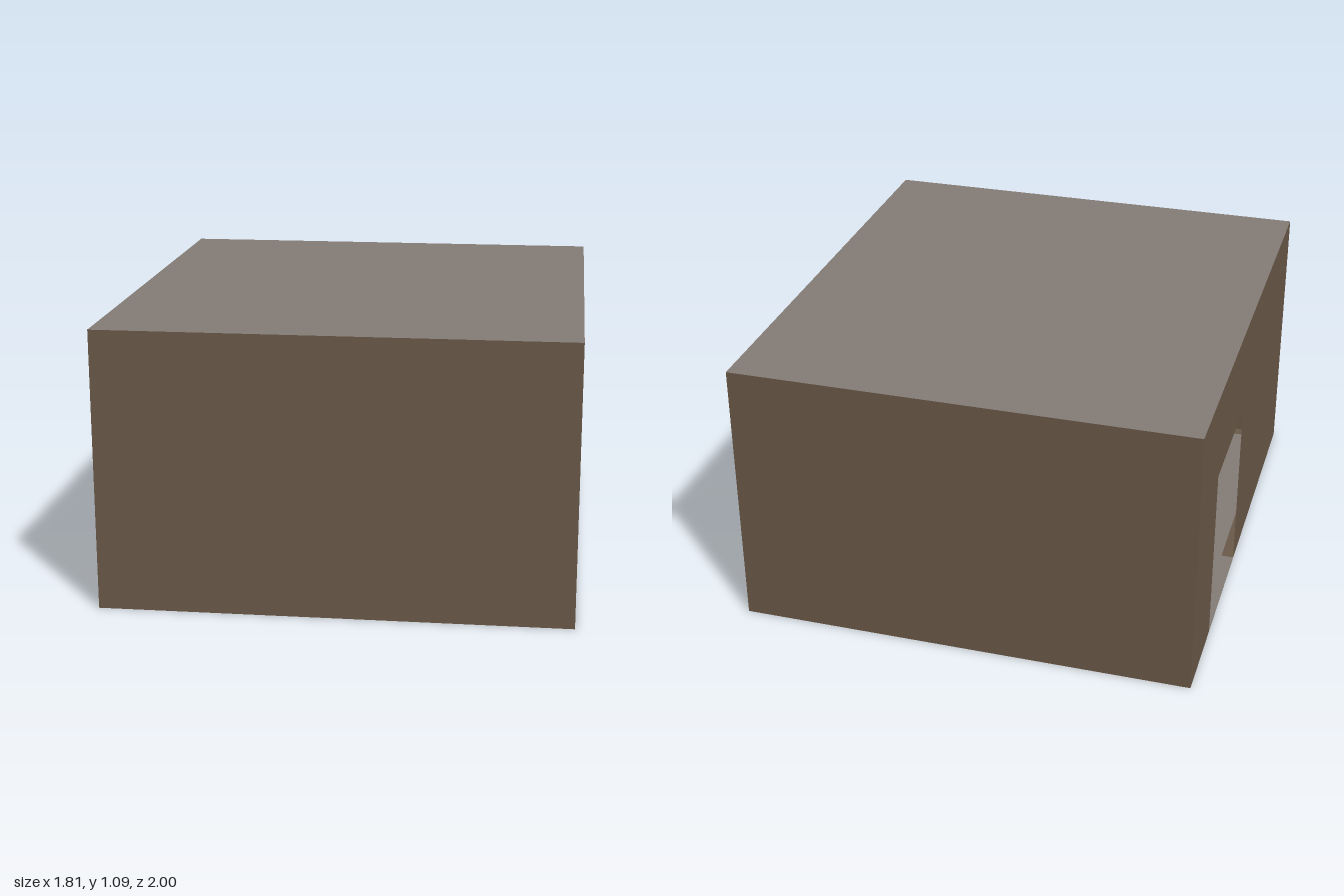
import * as THREE from 'three';

const W = 1.81, H = 1.09, D = 2, RIM = 0.05;

// rectangle outline, usable as shape or hole
function rect(x0, y0, x1, y1, Type = THREE.Shape) {
  const s = new Type();
  s.moveTo(x0, y0);
  s.lineTo(x1, y0);
  s.lineTo(x1, y1);
  s.lineTo(x0, y1);
  s.closePath();
  return s;
}

function panel(name, shape, material) {
  const mesh = new THREE.Mesh(new THREE.ShapeGeometry(shape), material);
  mesh.name = name;
  return mesh;
}

export function createModel() {
  const group = new THREE.Group();
  group.name = 'building';
  const brown = new THREE.MeshStandardMaterial({ name: 'brown wall', color: 0x6b5a49, side: THREE.DoubleSide });
  const gray = new THREE.MeshStandardMaterial({ name: 'gray slab', color: 0x857c76, side: THREE.DoubleSide });
  const w = W / 2, d = D / 2;

  // thin walls, the right one with a doorway
  const doorZ = [-0.63, -0.09], doorH = 0.72;
  const doorWall = new THREE.Shape();
  [[-d, 0], [doorZ[0], 0], [doorZ[0], doorH], [doorZ[1], doorH], [doorZ[1], 0], [d, 0], [d, H], [-d, H]]
    .forEach(([z, y], i) => (i ? doorWall.lineTo(z, y) : doorWall.moveTo(z, y)));
  const walls = [
    ['frontWall', rect(-w, 0, w, H), 0, [0, 0, d]],
    ['backWall', rect(-w, 0, w, H), Math.PI, [0, 0, -d]],
    ['leftWall', rect(-d, 0, d, H), Math.PI / 2, [w, 0, 0]],
    ['rightWall', doorWall, -Math.PI / 2, [-w, 0, 0]],
  ];
  for (const [name, shape, turn, pos] of walls) {
    const wall = panel(name, shape, brown);
    wall.rotation.y = turn;
    wall.position.set(...pos);
    group.add(wall);
  }

  // horizontal panels: shape (x, y) lies on (x, -z), facing up
  const addFlat = (name, shape, material, y) => {
    const flat = panel(name, shape, material);
    flat.rotation.x = -Math.PI / 2;
    flat.position.y = y;
    group.add(flat);
  };

  // roof with the ceiling just beneath
  addFlat('roof', rect(-w, -d, w, d), gray, H);
  addFlat('ceiling', rect(-w, -d, w, d), brown, H - 0.004);

  // floor with a square opening, framed by the wall footing
  const floor = rect(-w + RIM, -d + RIM, w - RIM, d - RIM);
  floor.holes.push(rect(0.085, -0.735, 0.63, -0.18, THREE.Path));
  addFlat('floor', floor, gray, 0);
  const footing = rect(-w, -d, w, d);
  footing.holes.push(rect(-w + RIM, -d + RIM, w - RIM, d - RIM, THREE.Path));
  addFlat('footing', footing, brown, 0);
  addFlat('threshold', rect(-w, -doorZ[1], -w + RIM, -doorZ[0]), gray, 0.003);

  return group;
}
